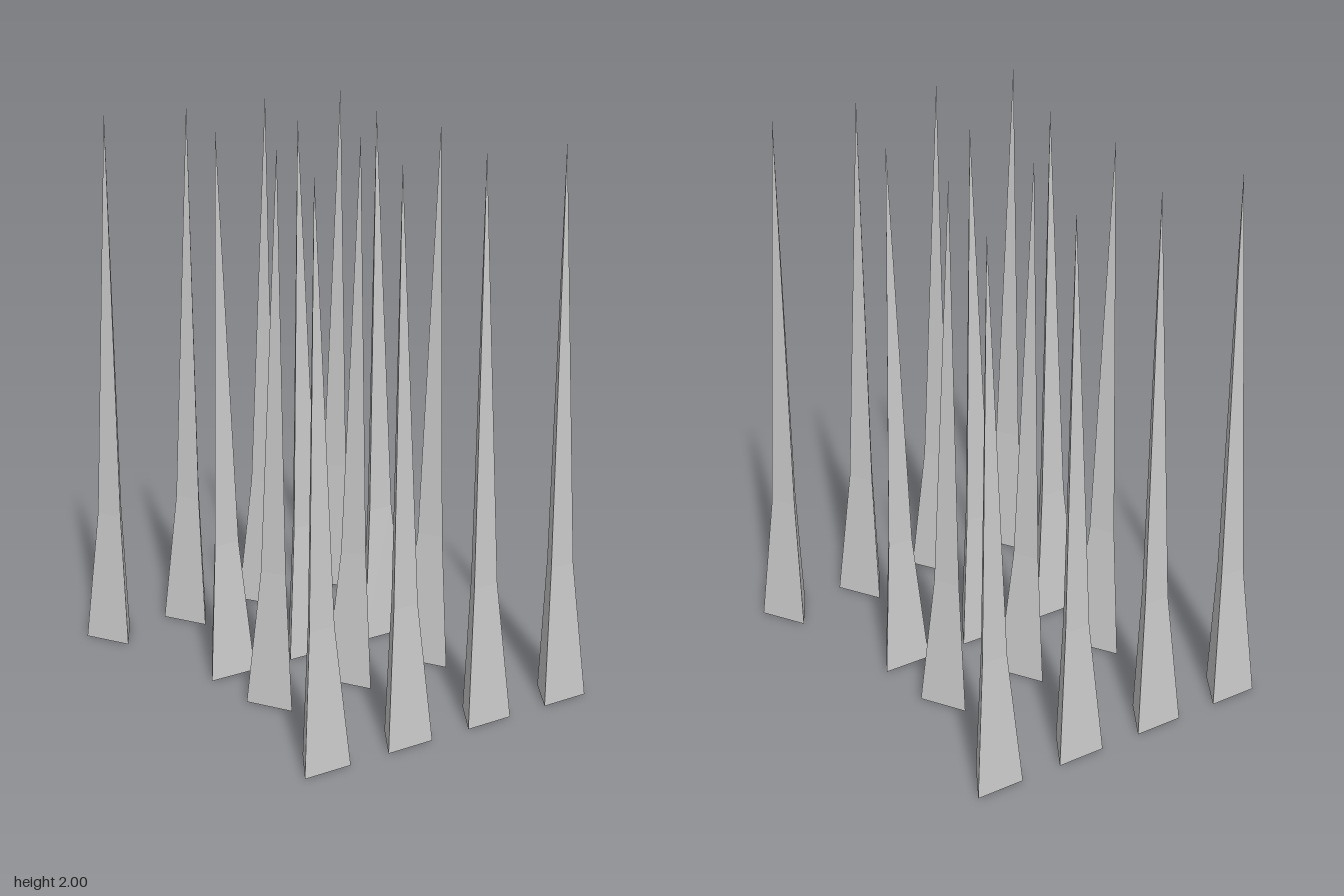
import * as THREE from 'three';

// Three-sided spike, flat side toward -z, with a flared foot below a long taper
function spikeGeometry() {
  const geo = new THREE.CylinderGeometry(1, 1, 2, 3, 2);
  const pos = geo.attributes.position;
  const rings = [
    { y: 0, s: 1 },
    { y: 0.5, s: 0.54 },
    { y: 2, s: 0.005 },
  ];
  for (let i = 0; i < pos.count; i++) {
    const ring = rings[Math.round(pos.getY(i)) + 1];
    // Normalise the triangle to its bounding box, so the tip sits over its middle
    const x = pos.getX(i) / 0.866;
    const z = (pos.getZ(i) - 0.25) / 0.75;
    pos.setXYZ(i, (x * 0.0925 - z * 0.003) * ring.s, ring.y, z * 0.08 * ring.s);
  }
  geo.computeVertexNormals();
  return geo;
}

export function createModel() {
  const model = new THREE.Group();
  model.name = 'spikeField';
  const material = new THREE.MeshStandardMaterial({ color: 0xcccccc, flatShading: true });
  const geometry = spikeGeometry();
  const spacing = 0.342;

  // Staggered rows, alternately turned half round
  const rows = [
    { name: 'frontRow', z: 0.664, count: 4, turn: Math.PI },
    { name: 'innerFrontRow', z: 0.192, count: 3, turn: 0 },
    { name: 'innerBackRow', z: -0.192, count: 3, turn: Math.PI },
    { name: 'backRow', z: -0.664, count: 4, turn: 0 },
  ];
  for (const { name, z, count, turn } of rows) {
    const row = new THREE.Group();
    row.name = name;
    for (let i = 0; i < count; i++) {
      const spike = new THREE.Mesh(geometry, material);
      spike.name = 'spike';
      spike.position.set((i - (count - 1) / 2) * spacing, 0, z);
      spike.rotation.y = turn;
      row.add(spike);
    }
    model.add(row);
  }
  return model;
}
